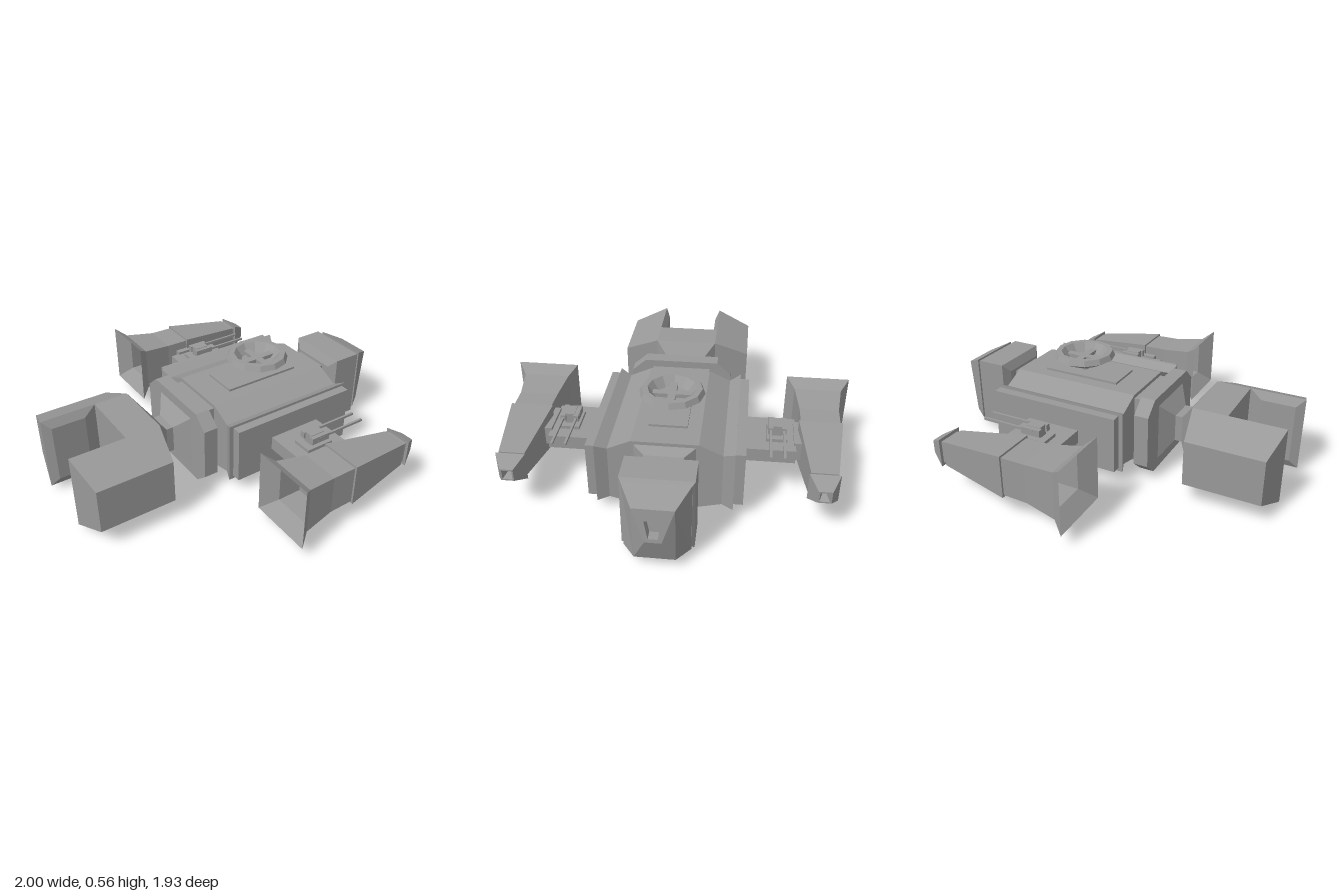
import * as THREE from 'three';

const grey = new THREE.MeshStandardMaterial({ color: 0x999999, flatShading: true });
grey.name = 'hull grey';

// Flat-faced surface from convex polygons given as point lists
function polys(faces) {
  const pos = [];
  for (const f of faces)
    for (let i = 1; i < f.length - 1; i++) pos.push(...f[0], ...f[i], ...f[i + 1]);
  const g = new THREE.BufferGeometry();
  g.setAttribute('position', new THREE.Float32BufferAttribute(pos, 3));
  g.computeVertexNormals();
  return g;
}

// Quads joining two rings of points
const bridge = (p, q) => p.map((_, i) => {
  const j = (i + 1) % p.length;
  return [p[i], p[j], q[j], q[i]];
});

// Rectangular sections [t, a0, a1, b0, b1]; a is z (axis x) or x (axis z), b is y
function loft(axis, rows) {
  const rings = rows.map(([t, a0, a1, b0, b1]) => {
    const c = [[a0, b0], [a1, b0], [a1, b1], [a0, b1]];
    return axis === 'x' ? c.map(([a, b]) => [t, b, a]).reverse() : c.map(([a, b]) => [a, b, t]);
  });
  let faces = [[...rings[0]].reverse(), rings[rings.length - 1]];
  for (let i = 0; i < rings.length - 1; i++) faces = faces.concat(bridge(rings[i], rings[i + 1]));
  return polys(faces);
}

// Sections along x, symmetric in z: [x, half width, y0, y1]
const alongX = rows => loft('x', rows.map(([x, w, y0, y1]) => [x, -w, w, y0, y1]));

// Sections along z given for the outer side only, mirrored through the middle
const mirroredZ = rows => loft('z', [
  ...rows.map(([z, ...r]) => [-z, ...r]), ...[...rows].reverse()]);

function box(x0, x1, y0, y1, z0, z1) {
  return new THREE.BoxGeometry(x1 - x0, y1 - y0, z1 - z0)
    .translate((x0 + x1) / 2, (y0 + y1) / 2, (z0 + z1) / 2);
}

// Nose with slanted face and recessed window
function noseGeometry() {
  const ring = (top, bottom) => {
    const [xt, yt, zt] = top, [xb, yb, zb] = bottom;
    return [[xt, yt, zt], [xb, yb, zb], [xb, yb, -zb], [xt, yt, -zt]];
  };
  const base = ring([0.865, 0.435, 0.165], [0.865, 0.05, 0.165]);
  const rim = ring([0.98, 0.38, 0.1], [0.955, 0.06, 0.1]);
  const face = ring([0.98, 0.38, 0.1], [1, 0.2, 0.04]);
  const hole = ring([0.987, 0.315, 0.042], [0.998, 0.22, 0.023]);
  const floor = hole.map(([x, y, z]) => [x - 0.05, y, z]);
  return polys([
    [...base].reverse(), ...bridge(base, rim),
    [rim[0], rim[1], face[1]], [rim[3], face[2], rim[2]],
    [face[1], rim[1], rim[2], face[2]],
    ...bridge(face, hole), ...bridge(hole, floor), floor,
  ]);
}

export function createModel() {
  const model = new THREE.Group();
  model.name = 'spacecraft';
  const add = (name, geometry, parent = model) => {
    const m = new THREE.Mesh(geometry, grey);
    m.name = name;
    parent.add(m);
    return m;
  };

  // Main hull with flanged side panels
  add('hull', mirroredZ([
    [0.4, -0.175, 0.565, 0.09, 0.4],
    [0.35, -0.175, 0.565, 0.09, 0.4],
    [0.35, -0.2, 0.588, 0.07, 0.415],
    [0.29, -0.175, 0.56, 0.08, 0.385],
    [0.17, -0.175, 0.56, 0.05, 0.44],
  ]));

  // Front neck, head and nose
  add('frontNeck', alongX([
    [0.55, 0.17, 0.05, 0.43], [0.6, 0.1, 0.1, 0.39],
    [0.635, 0.1, 0.1, 0.39], [0.67, 0.07, 0.13, 0.36]]));
  add('head', alongX([
    [0.655, 0.13, 0.09, 0.39], [0.68, 0.178, 0.04, 0.44],
    [0.84, 0.178, 0.04, 0.44], [0.855, 0.165, 0.055, 0.425]]));
  add('headJoint', box(0.84, 0.87, 0.07, 0.42, -0.15, 0.15));
  add('nose', noseGeometry());

  // Rear bulkhead and waist
  add('rearBulkhead', mirroredZ([
    [0.29, -0.315, -0.235, 0.1, 0.39], [0.21, -0.315, -0.235, 0.03, 0.46]]));
  add('rearCollar', box(-0.24, -0.17, 0.07, 0.42, -0.165, 0.165));
  add('waist', alongX([
    [-0.7, 0.18, 0.035, 0.45], [-0.51, 0.18, 0.035, 0.45],
    [-0.415, 0.07, 0.17, 0.32], [-0.375, 0.07, 0.17, 0.32],
    [-0.31, 0.165, 0.08, 0.41]]));

  // Dish on a raised platform
  add('dishPlatform', box(-0.03, 0.42, 0.43, 0.452, -0.1, 0.1));
  const dish = new THREE.Group();
  dish.name = 'dish';
  dish.position.set(0.225, 0, 0);
  model.add(dish);
  const profile = [[0.025, 0.44], [0.03, 0.475], [0.09, 0.487], [0.174, 0.53], [0.16, 0.56],
    [0.13, 0.56], [0.09, 0.51], [0, 0.505]].map(p => new THREE.Vector2(...p));
  add('dishBowl', new THREE.LatheGeometry(profile, 12), dish);
  for (let i = 0; i < 2; i++)
    add('dishSpoke', box(-0.105, 0.105, 0.5, 0.53, -0.02, 0.02), dish).rotation.y = i * Math.PI / 2;

  // Blade outline for the underside
  const blade = new THREE.Shape([
    [-0.15, -0.015], [-0.03, -0.02], [0.03, -0.04], [0.17, -0.04], [0.25, -0.015], [0.47, -0.01],
    [0.47, 0.01], [0.25, 0.015], [0.17, 0.04], [0.03, 0.04], [-0.03, 0.02], [-0.15, 0.015],
  ].map(p => new THREE.Vector2(...p)));

  for (const s of [1, -1]) {
    const side = s > 0 ? 'front' : 'back';
    const part = (name, x0, x1, y0, y1, z0, z1, parent) =>
      add(name, box(x0, x1, y0, y1, Math.min(s * z0, s * z1), Math.max(s * z0, s * z1)), parent);

    // Rear engine block, bevelled inside and out
    const engine = [
      [0.155, -0.955, -0.77, 0.08, 0.405], [0.18, -1, -0.7, 0.035, 0.45],
      [0.18, -1, -0.51, 0.035, 0.45], [0.38, -0.96, -0.55, 0.12, 0.365]];
    add(side + 'Engine', loft('z', s > 0 ? engine
      : engine.map(([z, ...r]) => [-z, ...r]).reverse()));

    // Wing strut
    part(side + 'Strut', 0.04, 0.345, 0.21, 0.285, 0.38, 0.66);
    part(side + 'StrutEnd', 0.09, 0.295, 0.195, 0.3, 0.65, 0.7);

    // Side pod with flared hollow rear and notched tip
    const pod = add(side + 'Pod', alongX([
      [0, 0.1], [-0.13, 0.1], [-0.2, 0.175], [-0.14, 0.13], [0.03, 0.107], [0.165, 0.105],
      [0.165, 0.116], [0.55, 0.068], [0.55, 0.06], [0.57, 0.06], [0.57, 0.077],
      [0.65, 0.034], [0.65, 0.026], [0.6, 0.008],
    ].map(([x, h]) => [x, h, -h, h])));
    pod.position.set(0, 0.245, s * 0.79);

    // Twin gun turret
    const turret = new THREE.Group();
    turret.name = side + 'Turret';
    model.add(turret);
    part('turretBase', 0.11, 0.27, 0.28, 0.303, 0.505, 0.615, turret);
    part('turretBody', 0.15, 0.235, 0.3, 0.36, 0.535, 0.585, turret);
    part('turretAxle', 0.18, 0.215, 0.325, 0.35, 0.51, 0.61, turret);
    for (const z of [0.525, 0.595]) {
      part('gunHousing', 0.14, 0.25, 0.32, 0.357, z - 0.014, z + 0.014, turret);
      part('gunBarrel', 0.24, 0.49, 0.333, 0.346, z - 0.006, z + 0.006, turret);
    }

    // Underside blade and its mount
    const b = add(side + 'Blade', new THREE.ExtrudeGeometry(blade, { depth: 0.014, bevelEnabled: false })
      .rotateX(-Math.PI / 2));
    b.position.z = s * 0.095;
    part(side + 'BladeMount', 0.04, 0.16, 0.01, 0.06, 0.07, 0.12);
  }
  return model;
}
